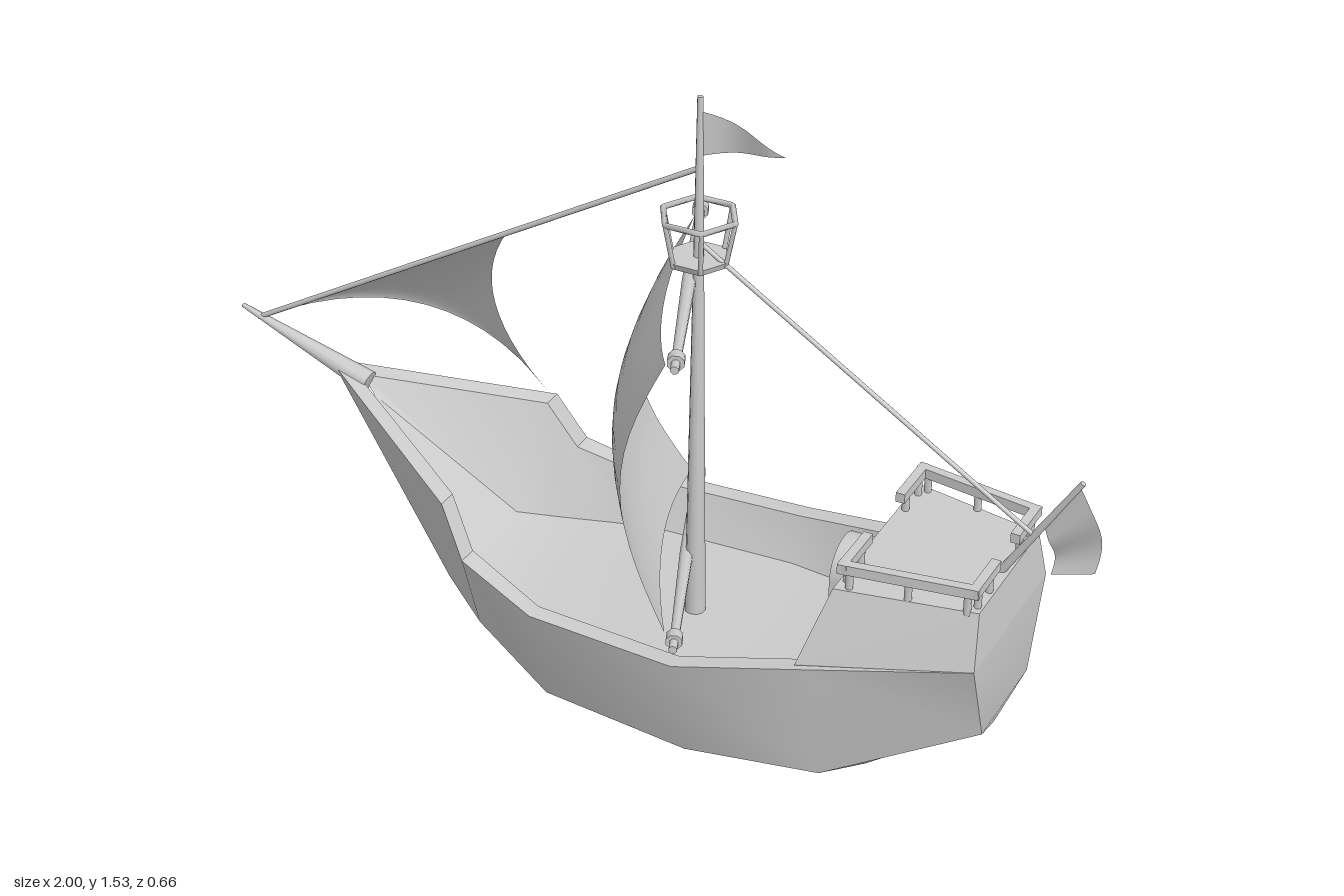
import * as THREE from 'three';
import { toCreasedNormals } from 'three/addons/utils/BufferGeometryUtils.js';
import { ConvexGeometry } from 'three/addons/geometries/ConvexGeometry.js';
import { ParametricGeometry } from 'three/addons/geometries/ParametricGeometry.js';

const V = (x, y, z) => new THREE.Vector3(x, y, z);
const solid = new THREE.MeshStandardMaterial({ color: 0xcccccc });
const cloth = new THREE.MeshStandardMaterial({ color: 0xcccccc, side: THREE.DoubleSide });

export function createModel() {
  const model = new THREE.Group();

  const add = (name, geometry, material = solid) => {
    const mesh = new THREE.Mesh(geometry, material);
    mesh.name = name;
    model.add(mesh);
    return mesh;
  };
  // Round spar between two points
  const rod = (name, a, b, r1, r2 = r1, sides = 8) => {
    const mesh = add(name, new THREE.CylinderGeometry(r2, r1, a.distanceTo(b), sides));
    mesh.position.copy(a).lerp(b, 0.5);
    mesh.quaternion.setFromUnitVectors(V(0, 1, 0), b.clone().sub(a).normalize());
    return mesh;
  };
  // Square bar between two points at the same height
  const bar = (name, a, b, width, height) => {
    const mesh = add(name, new THREE.BoxGeometry(a.distanceTo(b) + width, height, width));
    mesh.position.copy(a).lerp(b, 0.5);
    mesh.rotation.y = Math.atan2(a.z - b.z, b.x - a.x);
  };
  const sheet = (name, rule, nu = 14, nv = 14) =>
    add(name, new ParametricGeometry((u, v, p) => p.copy(rule(u, v)), nu, nv), cloth);

  // Hull: each station gives rail, chine, keel, inner rail and deck edge
  const stations = [
    [[-.76, .70, .012], [-.755, .685, .008], [-.75, .67, 0], [-.70, .683, .006], [-.67, .64, .004]],
    [[-.35, .60, .25], [-.40, .34, .15], [-.40, .19, 0], [-.35, .60, .205], [-.38, .36, .11]],
    [[-.29, .49, .275], [-.30, .28, .195], [-.30, .135, 0], [-.29, .49, .23], [-.30, .335, .17]],
    [[-.11, .43, .31], [-.11, .19, .245], [-.11, .03, 0], [-.11, .43, .27], [-.11, .33, .235]],
    [[.23, .43, .33], [.23, .175, .265], [.23, .005, 0], [.23, .43, .29], [.23, .33, .25]],
    [[.50, .485, .285], [.53, .21, .25], [.53, .06, 0], [.50, .485, .245], [.50, .33, .22]],
    [[.83, .53, .195], [.83, .33, .123], [.81, .272, 0], [.82, .53, .155], [.80, .42, .12]],
  ];
  const mirror = ([x, y, z]) => [x, y, -z];
  const rings = stations.map(([rail, chine, keel, inner, deck]) =>
    [rail, chine, keel, mirror(chine), mirror(rail), mirror(inner), mirror(deck), deck, inner]);
  const n = rings[0].length;
  const index = [];
  for (let i = 0; i < rings.length - 1; i++) {
    for (let j = 0; j < n; j++) {
      const a = i * n + j, d = i * n + (j + 1) % n;
      index.push(a, d, d + n, a, d + n, a + n);
    }
  }
  const last = (rings.length - 1) * n;
  index.push(1, 0, 2, 2, 0, 4, 2, 4, 3); // stem
  index.push(last, last + 1, last + 3, last, last + 3, last + 4, last + 1, last + 2, last + 3); // transom
  const hull = new THREE.BufferGeometry();
  hull.setAttribute('position', new THREE.Float32BufferAttribute(rings.flat(2), 3));
  hull.setIndex(index);
  add('hull', toCreasedNormals(hull, 0.45));
  rod('bowsprit', V(-.68, .672, 0), V(-1, .782, 0), .026, .005);

  // Stern cabin with arched door
  const corners = [[.48, .33, .225], [.48, .485, .275], [.53, .648, .215], [.83, .53, .194], [.82, .648, .16], [.80, .40, .1]];
  add('cabin', new ConvexGeometry(corners.flatMap(c => [V(...c), V(...mirror(c))])));
  const arch = new THREE.Shape();
  arch.moveTo(-.072, .32);
  arch.lineTo(.072, .32);
  arch.lineTo(.072, .553);
  arch.absarc(0, .553, .072, 0, Math.PI);
  const door = add('door', toCreasedNormals(
    new THREE.ExtrudeGeometry(arch, { depth: .065, bevelEnabled: false, curveSegments: 8 }), 0.6));
  door.rotation.y = Math.PI / 2;
  door.position.x = .46;

  // Cabin railing, open in the middle of the front and stern
  for (const s of [1, -1]) {
    const path = [[.545, .09], [.545, .2], [.808, .16], [.808, .06]].map(([x, z]) => V(x, .695, z * s));
    for (let i = 0; i < 3; i++) {
      bar('railing', path[i], path[i + 1], .02, .022);
      for (const t of i === 1 ? [.05, .5, .95] : [.2, .8]) {
        const p = path[i].clone().lerp(path[i + 1], t);
        rod('railingPost', V(p.x, .64, p.z), p, .008, .008, 6);
      }
    }
  }

  // Mast and crow's nest
  rod('mast', V(.12, .32, 0), V(.12, 1.54, 0), .023, .006, 10);
  const floor = add('nestFloor', new THREE.CylinderGeometry(.066, .06, .014, 6).toNonIndexed());
  floor.geometry.computeVertexNormals();
  floor.position.set(.12, 1.183, 0);
  floor.rotation.y = Math.PI / 6;
  const ring = add('nestRing', new THREE.TorusGeometry(.08, .007, 4, 6));
  ring.position.set(.12, 1.28, 0);
  ring.rotation.x = Math.PI / 2;
  for (let i = 0; i < 6; i++) {
    const c = Math.cos(i * Math.PI / 3), s = Math.sin(i * Math.PI / 3);
    rod('nestPost', V(.12 + .06 * c, 1.18, .06 * s), V(.12 + .08 * c, 1.28, .08 * s), .005, .005, 6);
  }

  // Yards with end collars
  for (const y of [1.13, .473]) {
    const a = V(-.03, y, -.315), b = V(.235, y, .33), mid = a.clone().lerp(b, .5);
    rod('yard', mid, a, .015, .009);
    rod('yard', mid, b, .015, .009);
    for (const t of [.055, .945])
      rod('yardCollar', a.clone().lerp(b, t - .018), a.clone().lerp(b, t + .018), .018);
  }

  // Billowing mainsail
  sheet('mainSail', (u, v) => {
    const s = 2 * u - 1, belly = Math.sin(Math.PI * v), mid = 1 - s * s;
    return V(
      .088 + .112 * s - .1 * belly - .03 * mid,
      .485 + .632 * v + .03 * mid * (1 - 2 * v),
      .015 + .285 * s + .035 * belly * (1 - s) + .012 * mid);
  });

  // Jib with hollow foot and leech
  const tack = V(-.95, .765, 0), head = V(-.32, 1.133, 0), clew = V(-.36, .605, -.235);
  const foot = new THREE.QuadraticBezierCurve3(tack, V(-.545, .97, -.12), clew);
  const leech = new THREE.QuadraticBezierCurve3(head, V(-.52, .87, -.14), clew);
  sheet('jib', (u, v) => tack.clone().lerp(head, u).lerp(foot.getPoint(u), v)
    .add(leech.getPoint(v).sub(head.clone().lerp(clew, v)).multiplyScalar(u)));

  // Stays
  rod('foreStay', V(-.96, .762, 0), V(.12, 1.385, 0), .006);
  rod('backStay', V(.12, 1.222, 0), V(.865, .75, 0), .005);

  // Masthead pennant
  sheet('pennant', (u, v) => V(
    .125 + .185 * u,
    1.458 + (1 - u) * (.05 - .095 * v),
    -.014 * Math.sin(u * Math.PI * 1.6)), 10, 2);

  // Stern flag on a raked pole
  rod('flagPole', V(.80, .645, 0), V(.955, .9, 0), .009, .006);
  const fly = new THREE.QuadraticBezierCurve3(V(.95, .89, 0), V(1.02, .815, 0), V(.995, .70, 0));
  const hoist = new THREE.QuadraticBezierCurve3(V(.885, .775, 0), V(.915, .74, 0), V(.905, .67, 0));
  sheet('sternFlag', (u, v) => {
    const p = fly.getPoint(u).lerp(hoist.getPoint(u), v);
    p.z = .01 * Math.sin(u * Math.PI * 2);
    return p;
  }, 8, 4);

  return model;
}
